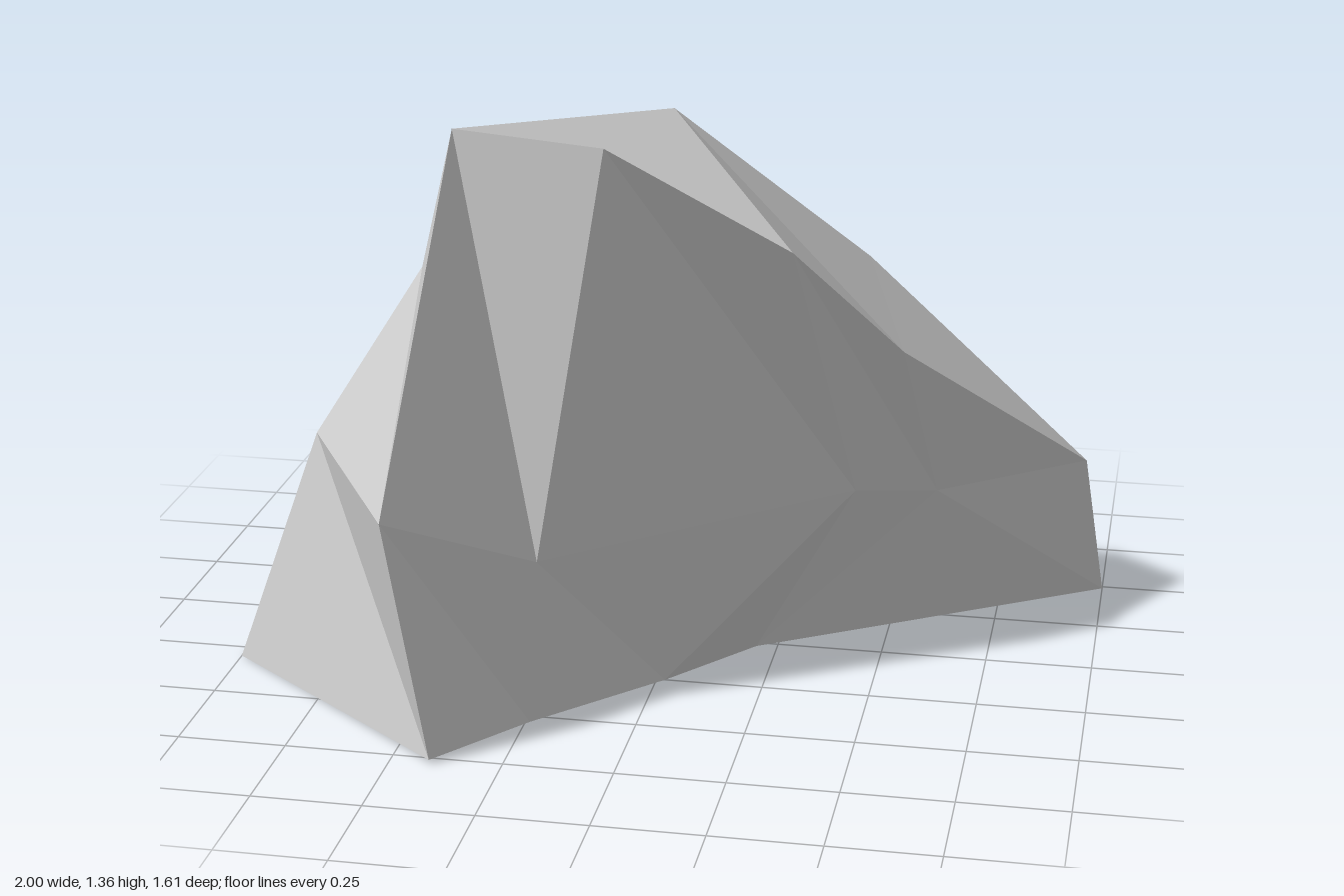
import * as THREE from 'three';

// Horizontal rings of eight corners, running the same way round the boulder
const rings = [
  // ground outline
  [[-1, 0, 0.3], [-0.63, 0, -0.51], [0.24, 0, -0.81], [1, 0, -0.49],
    [0.2, 0, 0.02], [0.02, 0, 0.25], [-0.24, 0, 0.53], [-0.41, 0.01, 0.78]],
  // waist
  [[-0.8, 0.57, 0.27], [-0.47, 0.44, -0.38], [0.06, 0.42, -0.57], [0.95, 0.37, -0.41],
    [0.61, 0.37, -0.14], [0.43, 0.41, 0], [-0.22, 0.39, 0.52], [-0.5, 0.57, 0.8]],
  // shoulder and crest
  [[-0.56, 0.96, 0.18], [-0.29, 0.75, -0.13], [0.18, 0.82, -0.37], [0.42, 0.9, -0.29],
    [0.54, 0.77, 0.03], [0.31, 1.06, 0.25], [-0.06, 1.35, 0.52], [-0.41, 1.36, 0.45]],
];
const peak = [0, 1.32, 0.02];

function boulderGeometry() {
  const n = 8;
  const index = [];

  // Bands of facets between neighbouring rings
  for (let r = 0; r < 2; r++) {
    for (let i = 0; i < n; i++) {
      const j = (i + 1) % n;
      const a = r * n + i, b = r * n + j;
      index.push(a, a + n, b + n, a, b + n, b);
    }
  }

  // Flat underside
  for (let i = 1; i < n - 1; i++) index.push(0, i, i + 1);

  // Cap: two corner facets, then a fan from the peak over the remaining corners
  const top = 2 * n, apex = 3 * n;
  for (const i of [2, 6]) index.push(top + i - 1, top + i + 1, top + i);
  const rim = [0, 1, 3, 4, 5, 7];
  rim.forEach((c, k) => index.push(apex, top + rim[(k + 1) % rim.length], top + c));

  const geometry = new THREE.BufferGeometry();
  const points = [...rings.flat(), peak].flat();
  geometry.setAttribute('position', new THREE.Float32BufferAttribute(points, 3));
  geometry.setIndex(index);
  const faceted = geometry.toNonIndexed();
  faceted.computeVertexNormals();
  return faceted;
}

export function createModel() {
  const group = new THREE.Group();
  group.name = 'rock';
  const material = new THREE.MeshStandardMaterial({ color: 0xcccccc, flatShading: true });
  const boulder = new THREE.Mesh(boulderGeometry(), material);
  boulder.name = 'boulder';
  group.add(boulder);
  return group;
}
